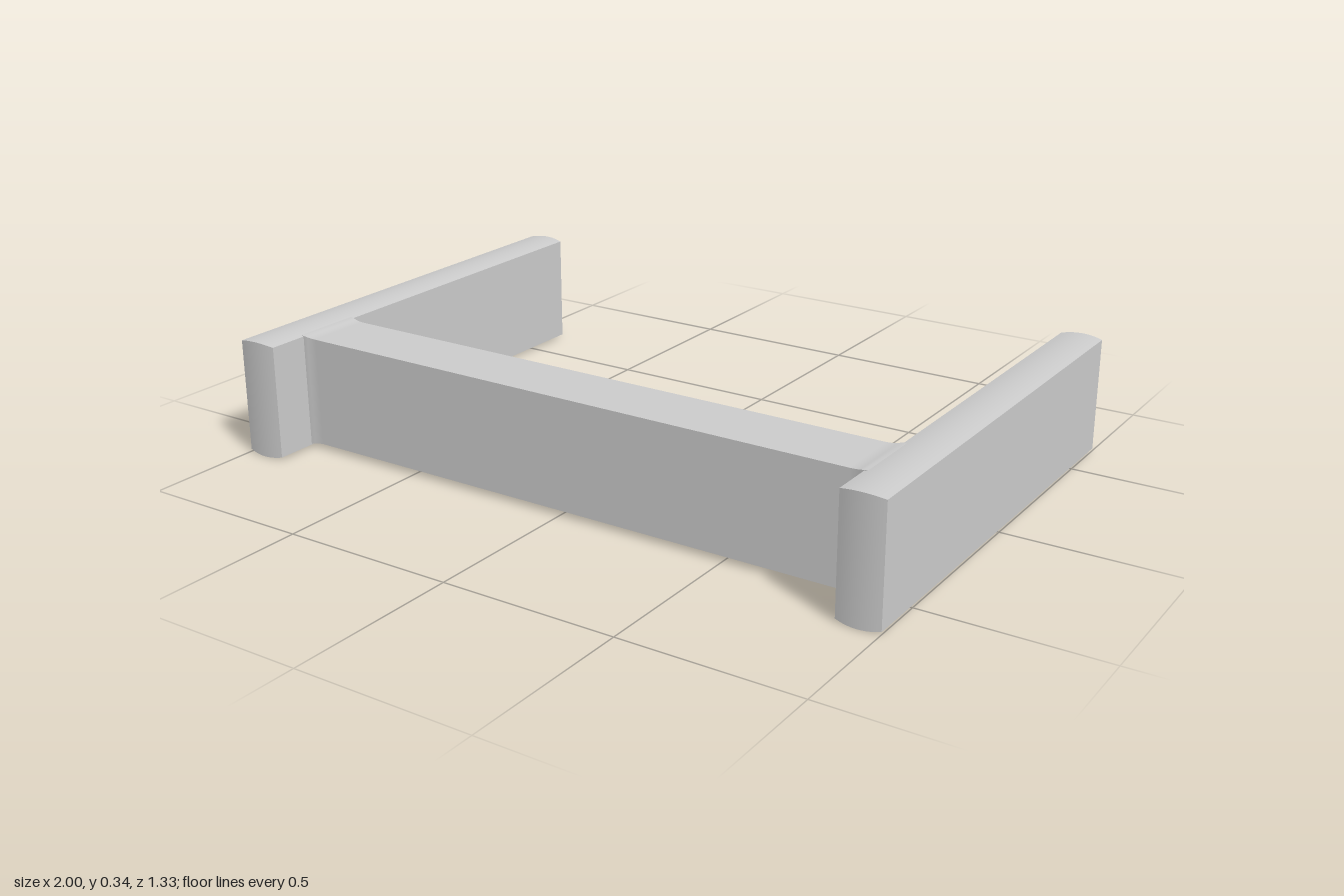
import * as THREE from 'three';

// Lofts rectangular sections [x, y0, y1, z0, z1] along +x; smooth along each side, sharp at corners
function loft(sections) {
  const pos = [], index = [];
  const rings = sections.map(([x, y0, y1, z0, z1]) => [[x, y0, z0], [x, y1, z0], [x, y1, z1], [x, y0, z1]]);
  for (let k = 0; k < 4; k++) {
    const base = pos.length / 3;
    rings.forEach((r, i) => {
      pos.push(...r[k], ...r[(k + 1) % 4]);
      if (i === 0) return;
      const a = base + 2 * (i - 1), b = a + 1, c = a + 2, d = a + 3;
      index.push(a, b, c, b, d, c);
    });
  }
  // Flat end caps
  for (const ring of [[...rings[0]].reverse(), rings[rings.length - 1]]) {
    const s = pos.length / 3;
    ring.forEach((p) => pos.push(...p));
    index.push(s, s + 1, s + 2, s, s + 2, s + 3);
  }
  const g = new THREE.BufferGeometry();
  g.setAttribute('position', new THREE.Float32BufferAttribute(pos, 3));
  g.setIndex(index);
  g.computeVertexNormals();
  return g;
}

export function createModel() {
  const group = new THREE.Group();
  const material = new THREE.MeshStandardMaterial({ color: 0xcccccc });
  const add = (name, geometry, x = 0) => {
    const mesh = new THREE.Mesh(geometry, material);
    mesh.name = name;
    mesh.position.x = x;
    group.add(mesh);
  };

  // Side panels: long slabs whose top, bottom and ends bow out slightly
  const panel = [];
  const steps = 10;
  for (let i = 0; i <= steps; i++) {
    const t = (i / steps) * 2 - 1;
    const bow = 0.007 * (1 - t * t);
    panel.push([0.06 * t, 0.007 - bow, 0.333 + bow, -0.659 - bow, 0.659 + bow]);
  }
  const panelGeometry = loft(panel);
  add('leftPanel', panelGeometry, 0.94);
  add('rightPanel', panelGeometry, -0.94);

  // Crossbar: straight beam flaring gently where it meets the panels
  const half = [[0.84, 0], [0.855, 0.001], [0.868, 0.003], [0.88, 0.006], [0.9, 0.006]];
  const section = (x, f) => [x, 0.015 - f, 0.329 + f, 0.346 - f, 0.535 + f];
  add('crossbar', loft([
    ...[...half].reverse().map(([x, f]) => section(-x, f)),
    ...half.map(([x, f]) => section(x, f)),
  ]));
  return group;
}
